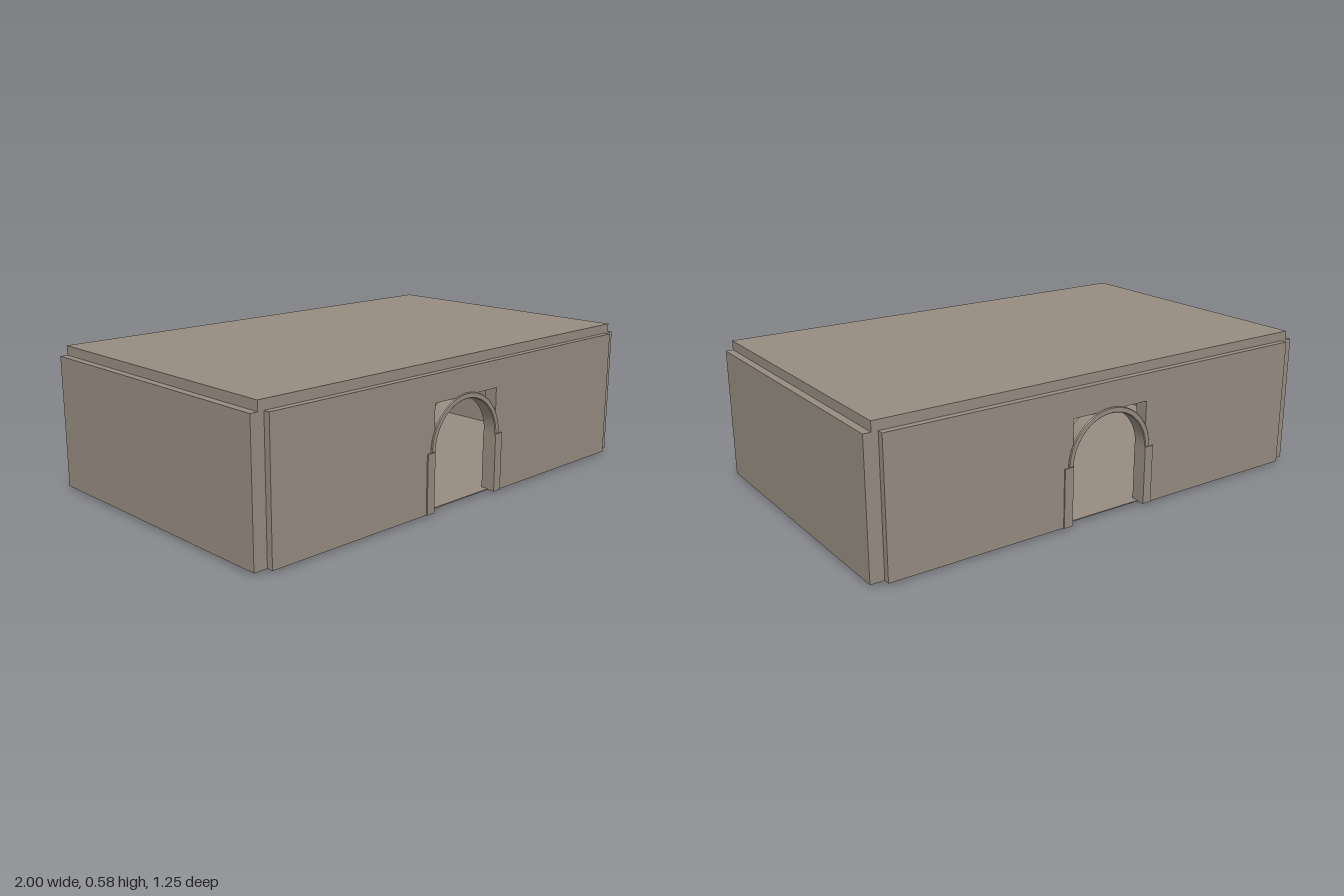
import * as THREE from 'three';

export function createModel() {
  const room = new THREE.Group();
  room.name = 'vaultRoom';
  const stone = new THREE.MeshStandardMaterial({ color: 0x968c80 });

  const add = (name, geometry, x = 0, y = 0, z = 0, parent = room) => {
    const mesh = new THREE.Mesh(geometry, stone);
    mesh.name = name;
    mesh.position.set(x, y, z);
    parent.add(mesh);
    return mesh;
  };
  // Box given by its lower and upper corners
  const block = (name, [x0, y0, z0], [x1, y1, z1], parent) =>
    add(name, new THREE.BoxGeometry(x1 - x0, y1 - y0, z1 - z0),
      (x0 + x1) / 2, (y0 + y1) / 2, (z0 + z1) / 2, parent);

  const base = 0.01, top = 0.54, thick = 0.055;
  const doorX = 0.175, doorTop = 0.43, spring = 0.245;

  // Floor and roof slabs, both reaching halfway across the walls
  block('floor', [-0.97, base, -0.592], [0.97, base + 0.004, 0.592]);
  block('roof', [-0.97, top, -0.592], [0.97, 0.578, 0.592]);

  // Solid end walls with little locating pins underneath
  for (const side of [-1, 1]) {
    const inner = side * (1 - thick);
    block('endWall', [Math.min(inner, side), base, -0.592], [Math.max(inner, side), top, 0.592]);
    for (const z of [0.27, -0.135]) {
      add('pin', new THREE.CylinderGeometry(0.009, 0.006, 0.012, 12), side * 0.935, 0.006, z);
    }
  }

  // Long wall outline with a square-headed door opening
  const outline = new THREE.Shape([
    [-0.945, base], [-doorX, base], [-doorX, doorTop], [doorX, doorTop],
    [doorX, base], [0.945, base], [0.945, top], [-0.945, top],
  ].map(([x, y]) => new THREE.Vector2(x, y)));

  // Half-round arch band
  const band = new THREE.Shape();
  band.absarc(0, spring, 0.195, 0, Math.PI, false);
  band.absarc(0, spring, 0.172, Math.PI, 0, true);

  for (const turn of [0, Math.PI]) {
    const wall = new THREE.Group();
    wall.name = turn ? 'backWall' : 'frontWall';
    wall.rotation.y = turn;
    room.add(wall);

    add('wallPanel', new THREE.ExtrudeGeometry(outline, { depth: thick, bevelEnabled: false }),
      0, 0, 0.618 - thick, wall);
    add('doorArch', new THREE.ExtrudeGeometry(band, {
      depth: thick - 0.002, curveSegments: 28,
      bevelThickness: 0.003, bevelSize: 0.003, bevelOffset: -0.003, bevelSegments: 1,
    }), 0, 0, 0.567, wall);
    for (const side of [-1, 1]) {
      const a = side * 0.174, b = side * 0.213;
      block('doorJamb', [Math.min(a, b), base, 0.562], [Math.max(a, b), spring, 0.623], wall);
    }
  }
  return room;
}
